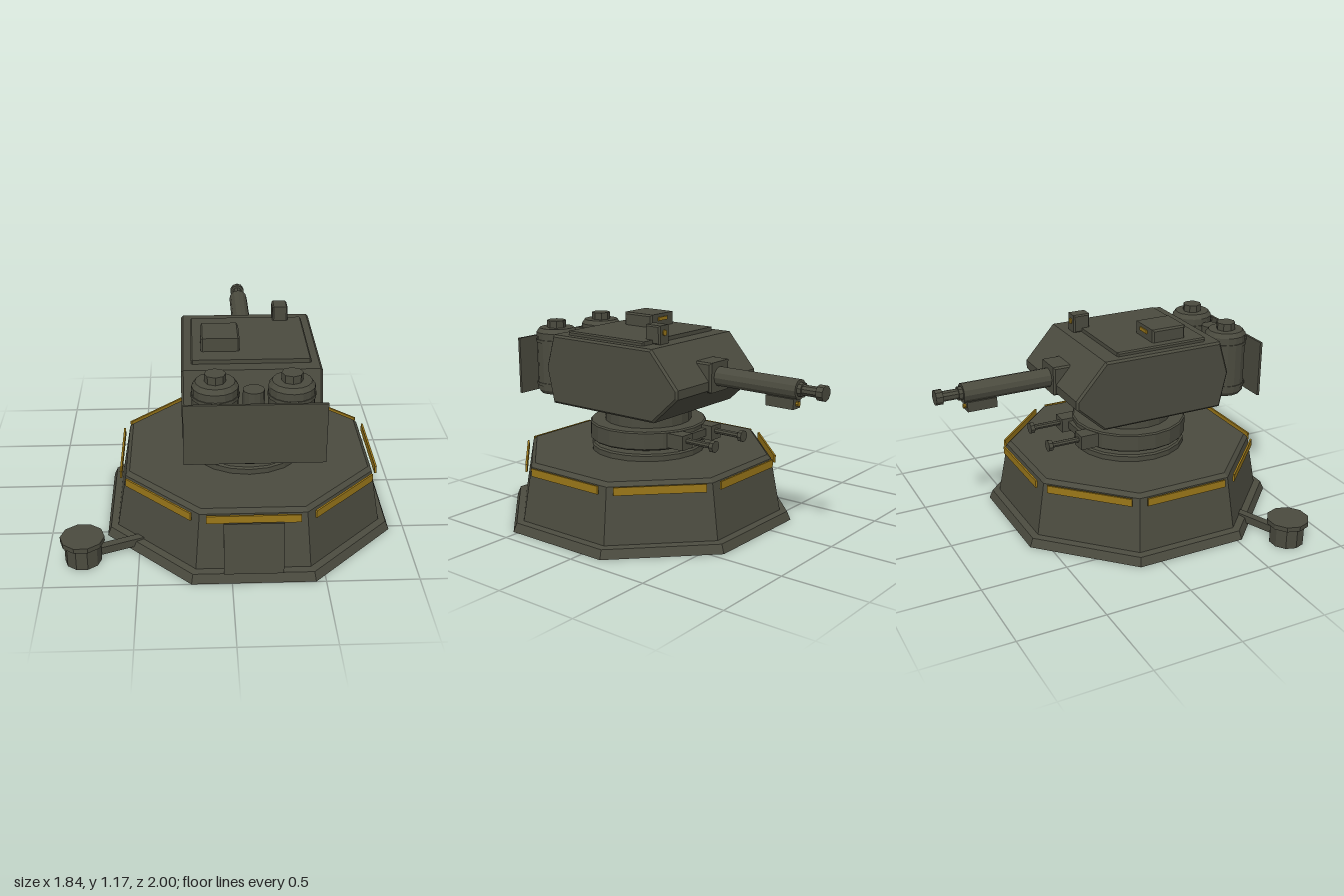
import * as THREE from 'three';

const material = (name, color) => {
  const m = new THREE.MeshStandardMaterial({ color, flatShading: true });
  m.name = name;
  return m;
};

export function createModel() {
  const olive = material('olive armour', 0x4b4b3f);
  const gold = material('amber light', 0x9a7719);
  const root = new THREE.Group();
  const CX = 0.115, CZ = 0.2; // bunker and turret axis

  const add = (name, geo, x = 0, y = 0, z = 0, mat = olive) => {
    const mesh = new THREE.Mesh(geo, mat);
    mesh.name = name;
    mesh.position.set(x, y, z);
    root.add(mesh);
    return mesh;
  };
  // Box given by its limits on each axis
  const box = (name, x0, x1, y0, y1, z0, z1, mat) =>
    add(name, new THREE.BoxGeometry(x1 - x0, y1 - y0, z1 - z0),
      (x0 + x1) / 2, (y0 + y1) / 2, (z0 + z1) / 2, mat);
  // Revolved profile of [radius, height] pairs, bottom to top
  const lathe = (name, profile, sides, x, z, phase = 0) =>
    add(name, new THREE.LatheGeometry(
      profile.map(([r, y]) => new THREE.Vector2(r, y)), sides, phase), x, 0, z);
  // Cylinder lying along z
  const rod = (name, r, z0, z1, x, y, sides = 10, mat) =>
    add(name, new THREE.CylinderGeometry(r, r, z1 - z0, sides).rotateX(Math.PI / 2),
      x, y, (z0 + z1) / 2, mat);
  // Extruded side outline of [z, y] pairs, bevelled, spanning x0..x1
  const sideSlab = (name, outline, x0, x1, bevel) => {
    const shape = new THREE.Shape(outline.map(([z, y]) => new THREE.Vector2(-z, y)));
    const geo = new THREE.ExtrudeGeometry(shape, {
      depth: x1 - x0 - 2 * bevel, bevelEnabled: true, bevelSize: bevel,
      bevelOffset: -bevel, bevelThickness: bevel, bevelSegments: 1,
    });
    return add(name, geo.rotateY(Math.PI / 2), x0 + bevel, 0, 0);
  };

  // Octagonal bunker: radii are apothems turned into corner radii
  const corner = 1 / Math.cos(Math.PI / 8);
  lathe('bunker', [[0, 0], [0.8, 0], [0.78, 0.05], [0.74, 0.055], [0.687, 0.365],
    [0.665, 0.387], [0, 0.387]].map(([a, y]) => [a * corner, y]), 8, CX, CZ, Math.PI / 8);

  // Light strips standing off each wall
  for (let i = 0; i < 8; i++) {
    const a = i * Math.PI / 4;
    const strip = add('lightStrip', new THREE.BoxGeometry(0.5, 0.045, 0.011),
      CX + Math.sin(a) * 0.716, 0.349, CZ + Math.cos(a) * 0.716, gold);
    strip.rotation.y = a;
  }

  // Sloped door on the front wall
  const door = add('door', new THREE.BoxGeometry(0.318, 0.29, 0.014), CX, 0.195, 0.962);
  door.rotation.x = -0.15;

  // Turret ring, collar and neck
  lathe('turretRing', [[0.335, 0.385], [0.335, 0.418], [0.325, 0.427], [0, 0.427]], 20, CX, CZ);
  lathe('neck', [[0.255, 0.42], [0.255, 0.67]], 20, CX, CZ);
  lathe('collar', [[0.25, 0.452], [0.335, 0.452], [0.343, 0.46], [0.343, 0.552],
    [0.335, 0.56], [0.25, 0.56]], 20, CX, CZ);

  // Twin small guns on the back of the collar
  for (const x of [-0.02, 0.25]) {
    box('smallGunMount', x - 0.045, x + 0.045, 0.465, 0.55, -0.2, -0.05);
    rod('smallGunBarrel', 0.017, -0.38, -0.19, x, 0.515, 8);
    rod('smallGunMuzzle', 0.034, -0.395, -0.37, x, 0.515, 8);
  }
  box('smallGunBridge', -0.02, 0.25, 0.485, 0.53, -0.16, -0.12);

  // Turret body
  sideSlab('turretBody', [[0.618, 0.655], [0.665, 0.865], [0.605, 1.062], [-0.13, 1.062],
    [-0.31, 0.86], [-0.31, 0.81], [-0.14, 0.655]], -0.252, 0.484, 0.012);

  // Roof plate, hatch and sensor
  sideSlab('roofPlate', [[0.53, 1.05], [0.53, 1.085], [-0.035, 1.085], [-0.035, 1.05]],
    -0.2, 0.432, 0.008);
  sideSlab('hatch', [[0.425, 1.07], [0.425, 1.16], [0.215, 1.16], [0.215, 1.07]],
    -0.147, 0.06, 0.01);
  box('hatchLight', -0.08, 0, 1.12, 1.14, 0.208, 0.215, gold);
  sideSlab('sensor', [[0.017, 1.06], [0.017, 1.167], [-0.085, 1.167], [-0.085, 1.06]],
    0.266, 0.352, 0.008);
  rod('sensorLens', 0.017, -0.092, -0.084, 0.309, 1.125, 10, gold);

  // Main gun
  sideSlab('mantlet', [[-0.2, 0.79], [-0.2, 0.965], [-0.323, 0.965], [-0.323, 0.795]],
    0.028, 0.202, 0.01);
  rod('barrel', 0.056, -0.845, -0.3, CX, 0.88, 12);
  rod('innerBarrel', 0.03, -0.97, -0.84, CX, 0.88, 10);
  rod('barrelStep', 0.04, -0.868, -0.84, CX, 0.88, 10);
  rod('muzzle', 0.044, -1, -0.96, CX, 0.88, 10);
  box('gunLamp', 0.08, 0.15, 0.772, 0.83, -0.825, -0.65);
  rod('gunLampLens', 0.014, -0.84, -0.825, CX, 0.8, 8, gold);

  // Twin tanks on the front of the turret, with bands and caps
  for (const x of [-0.08, 0.31]) {
    lathe('tank', [[0, 0.678], [0.105, 0.678], [0.12, 0.7], [0.12, 1.045], [0.102, 1.07],
      [0, 1.07]], 16, x, 0.745);
    for (const y of [0.735, 0.995])
      add('tankBand', new THREE.CylinderGeometry(0.125, 0.125, 0.018, 16), x, y, 0.745);
    add('tankCap', new THREE.CylinderGeometry(0.056, 0.056, 0.045, 8), x, 1.09, 0.745);
    // Panel brackets
    for (const y of [0.71, 0.995]) box('bracket', x - 0.02, x + 0.02, y - 0.01, y + 0.01, 0.85, 0.89);
  }
  add('centrePipe', new THREE.CylinderGeometry(0.056, 0.056, 0.35, 12), CX, 0.855, 0.765);
  box('frontPanel', -0.245, 0.48, 0.675, 1.01, 0.885, 0.9);

  // Side canister joined to the bunker by a pipe
  lathe('canister', [[0, 0], [0.1, 0], [0.1, 0.122], [0.121, 0.122], [0.121, 0.15], [0, 0.15]],
    10, -0.803, 0.757, Math.PI / 10);
  const pipe = add('connector', new THREE.BoxGeometry(0.36, 0.046, 0.046), -0.59, 0.042, 0.675);
  pipe.rotation.y = 0.38;

  return root;
}
